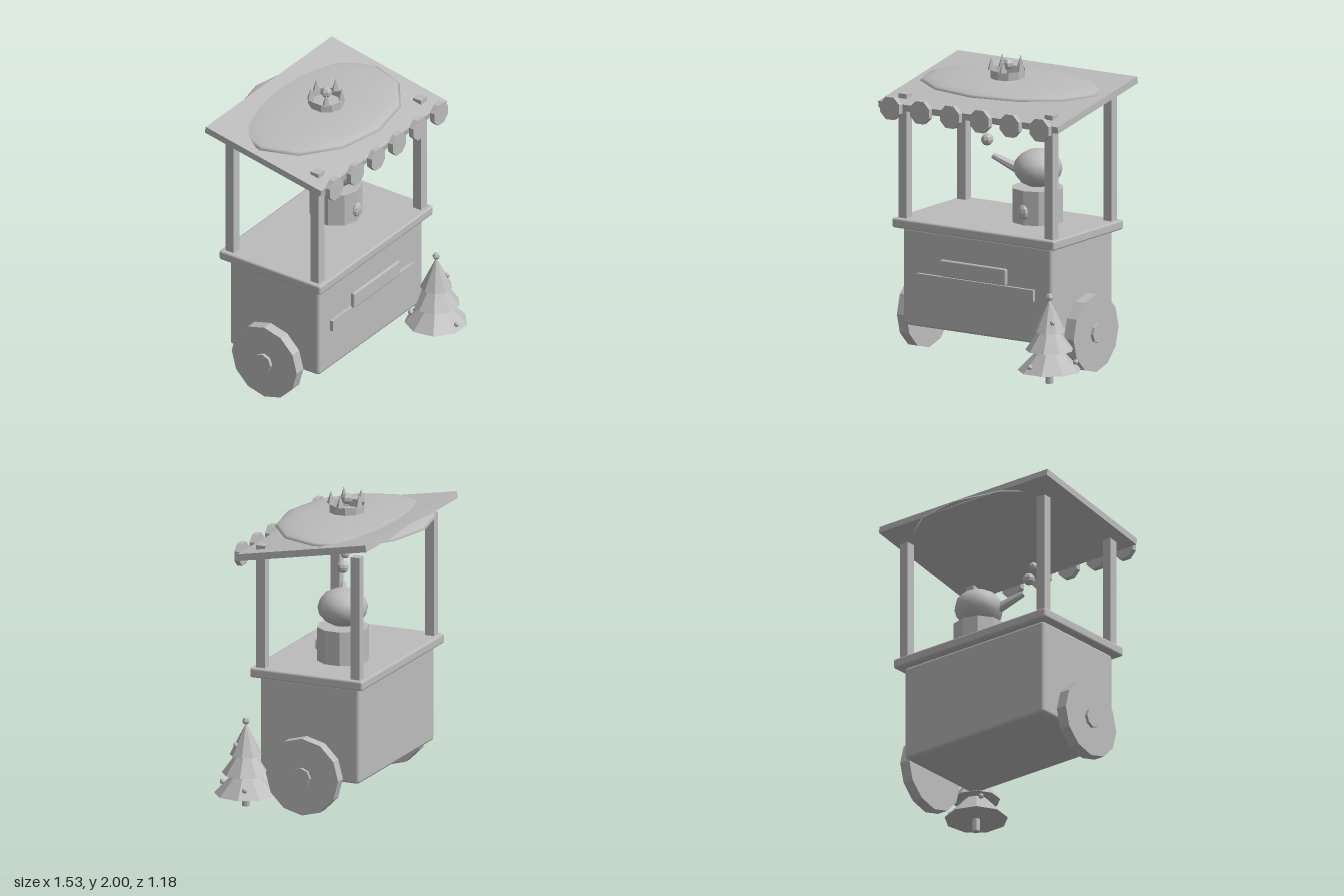
import * as THREE from 'three';
import { RoundedBoxGeometry } from 'three/addons/geometries/RoundedBoxGeometry.js';

export function createModel() {
  const root = new THREE.Group();
  root.name = 'marketCart';
  const grey = new THREE.MeshStandardMaterial({ color: 0xbcbcbc, side: THREE.DoubleSide });
  grey.name = 'plainGrey';
  const CX = -0.06, CZ = -0.04; // centre of the cart

  const add = (name, geo, x, y, z, parent = root) => {
    const m = new THREE.Mesh(geo, grey);
    m.name = name;
    m.position.set(x, y, z);
    parent.add(m);
    return m;
  };
  const flat = (geo) => {
    const g = geo.toNonIndexed();
    g.computeVertexNormals();
    return g;
  };
  const box = (w, h, d) => new THREE.BoxGeometry(w, h, d);
  const chamfered = (w, h, d, r) => new RoundedBoxGeometry(w, h, d, 1, r);
  const cyl = (rTop, rBottom, h, n, open = false, start = 0) =>
    flat(new THREE.CylinderGeometry(rTop, rBottom, h, n, 1, open, start));
  const bead = (r, n = 8, rows = 6) => flat(new THREE.SphereGeometry(r, n, rows));

  // Cart body, counter and front boards
  add('body', chamfered(1.16, 0.645, 0.705, 0.02), CX, 0.545, CZ);
  add('counter', chamfered(1.265, 0.065, 0.8, 0.014), CX, 0.8975, CZ);
  add('frontSign', chamfered(0.515, 0.11, 0.03, 0.01), CX, 0.645, 0.35);
  add('frontStrip', box(0.91, 0.075, 0.025), CX, 0.543, 0.3225);

  // Wheels and roof posts, mirrored about the cart centre
  for (const s of [-1, 1]) {
    const wheel = add('wheel', cyl(0.257, 0.257, 0.075, 12), CX + s * 0.6525, 0.26, CZ);
    wheel.rotation.set(0, 0, Math.PI / 2);
    const hub = add('wheelHub', cyl(0.064, 0.064, 0.05, 8), CX + s * 0.686, 0.26, CZ);
    hub.rotation.set(0, 0, Math.PI / 2);
    for (const t of [-1, 1])
      add('roofPost', box(0.064, 0.82, 0.064), CX + s * 0.57, 1.34, CZ + t * 0.336);
  }

  // Sloping roof with hanging scallops
  const roof = add('roof', box(1.4, 0.045, 0.927), CX, 1.765, -0.043);
  roof.rotation.x = 0.183;
  for (let i = 0; i < 6; i++) {
    const scallop = add('roofScallop', cyl(0.08, 0.08, 0.037, 8, false, Math.PI / 8),
      CX + (i - 2.5) * 0.233, 1.675, 0.438);
    scallop.rotation.x = Math.PI / 2;
  }

  // Shallow open dome resting on the roof
  const domeGeo = new THREE.SphereGeometry(1, 12, 6, 0, Math.PI * 2, 0, Math.PI / 2);
  add('roofDome', domeGeo, CX, 1.807, -0.104).scale.set(0.65, 0.06, 0.49);

  // Crown ornament
  const crown = new THREE.Group();
  crown.name = 'crown';
  crown.position.set(CX, 1.865, CZ);
  root.add(crown);
  add('crownBand', cyl(0.116, 0.116, 0.055, 10, true), 0, 0.024, 0, crown);
  add('crownOrb', bead(0.038, 6, 5), 0, 0.085, 0, crown);
  for (let i = 0; i < 5; i++) {
    const a = i * Math.PI * 2 / 5;
    add('crownSpike', cyl(0, 0.028, 0.085, 4),
      0.105 * Math.cos(a), 0.0925, 0.105 * Math.sin(a), crown);
  }

  // Drum, kettle, spout and puffs of steam
  add('drum', cyl(0.17, 0.17, 0.225, 10), 0.133, 1.0425, -0.1);
  add('drumKnob', bead(1), 0.132, 1.013, 0.068).scale.set(0.042, 0.05, 0.022);
  add('kettle', new THREE.SphereGeometry(1, 12, 8), 0.135, 1.28, -0.1).scale.set(0.157, 0.125, 0.166);
  const from = new THREE.Vector3(0.03, 1.263, -0.053), to = new THREE.Vector3(-0.137, 1.35, 0.018);
  const dir = to.clone().sub(from);
  const mid = from.clone().add(to).multiplyScalar(0.5);
  const spout = add('spout', cyl(0.02, 0.036, dir.length(), 8), mid.x, mid.y, mid.z);
  spout.quaternion.setFromUnitVectors(new THREE.Vector3(0, 1, 0), dir.normalize());
  add('steamPuff', bead(0.041), -0.165, 1.455, 0.04);
  add('steamPuff', bead(0.03), -0.203, 1.532, 0.04);

  // Small decorated tree
  const tree = new THREE.Group();
  tree.name = 'tree';
  tree.position.set(0.56, 0, 0.39);
  root.add(tree);
  add('treeTrunk', cyl(0.026, 0.026, 0.12, 8), 0, 0.06, 0, tree);
  for (const [r, y0, y1] of [[0.207, 0.085, 0.3], [0.157, 0.22, 0.44], [0.106, 0.343, 0.555]])
    add('treeTier', cyl(0, r, y1 - y0, 9, false, Math.PI / 9), 0, (y0 + y1) / 2, 0, tree);
  add('treeTopper', bead(0.025, 6, 4), 0, 0.567, 0, tree);
  const baubles = [[0.055, 0.413, 0.047], [-0.113, 0.3, -0.12], [-0.13, 0.175, -0.11],
    [-0.03, 0.133, 0.182], [0.16, 0.148, -0.064]];
  for (const [x, y, z] of baubles) add('bauble', bead(0.018), x, y, z, tree);

  return root;
}
